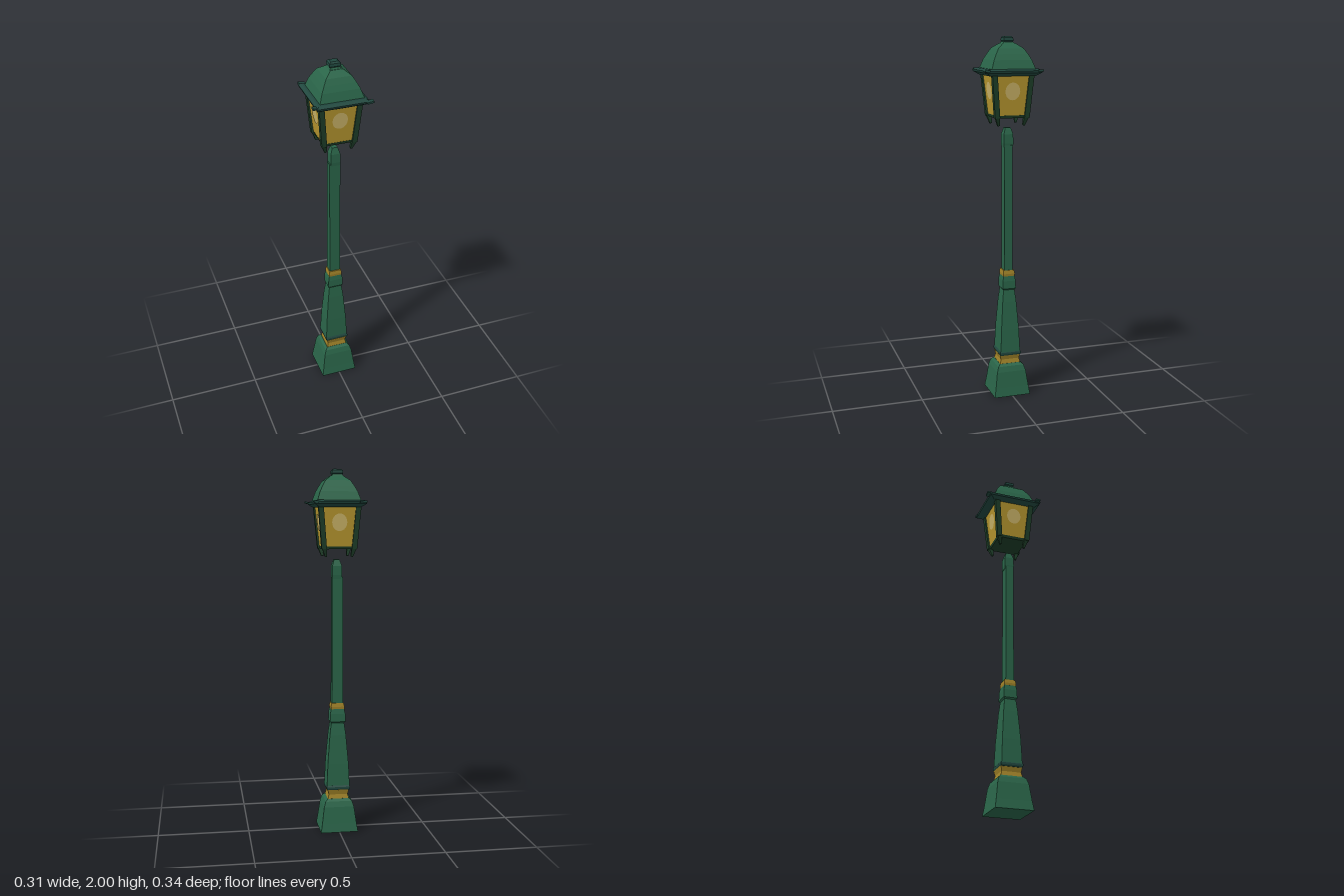
import * as THREE from 'three';

const mat = (name, color) => {
  const m = new THREE.MeshStandardMaterial({ color });
  m.name = name;
  return m;
};

export function createModel() {
  const lamp = new THREE.Group();
  lamp.name = 'streetLamp';
  const green = mat('green paint', 0x2a6549);
  const darkGreen = mat('dark green paint', 0x21483f);
  const frameGreen = mat('frame green', 0x1e3f29);
  const gold = mat('gold trim', 0xa08228);
  const glass = mat('amber glass', 0xb8982f);
  const glow = mat('bulb glow', 0xccb568);

  const add = (name, geometry, material, parent = lamp) => {
    const g = geometry.index ? geometry.toNonIndexed() : geometry;
    g.computeVertexNormals(); // faceted
    const mesh = new THREE.Mesh(g, material);
    mesh.name = name;
    parent.add(mesh);
    return mesh;
  };

  // Square-section solid from [halfWidth, height] pairs, bottom to top
  const square = (name, profile, material, sx = 1, sz = 1, parent = lamp) => {
    const pts = profile.map(([h, y]) => new THREE.Vector2(h * Math.SQRT2, y));
    pts.unshift(new THREE.Vector2(0, pts[0].y));
    pts.push(new THREE.Vector2(0, pts[pts.length - 1].y));
    const g = new THREE.LatheGeometry(pts, 4, Math.PI / 4);
    g.scale(sx, 1, sz);
    return add(name, g, material, parent);
  };

  // Square bar between two points with a half width at each end
  const bar = (name, a, b, ha, hb, material, parent) => {
    const dir = b.clone().sub(a);
    const g = new THREE.CylinderGeometry(hb * Math.SQRT2, ha * Math.SQRT2, dir.length(), 4);
    g.rotateY(Math.PI / 4);
    const mesh = add(name, g, material, parent);
    mesh.position.copy(a).add(b).multiplyScalar(0.5);
    mesh.quaternion.setFromUnitVectors(new THREE.Vector3(0, 1, 0), dir.normalize());
    return mesh;
  };

  // Pedestal and post
  square('base', [[0.104, 0], [0.096, 0.05], [0.084, 0.14], [0.074, 0.17], [0.06, 0.182]], green);
  square('lowerBand', [[0.06, 0.178], [0.053, 0.205], [0.059, 0.232]], gold);
  square('lowerLip', [[0.062, 0.23], [0.066, 0.238], [0.066, 0.248], [0.061, 0.256]], darkGreen, 1, 0.92);
  square('taperedShaft', [[0.064, 0.25], [0.058, 0.38], [0.045, 0.54], [0.036, 0.61]], green, 1, 0.88);
  square('collar', [[0.034, 0.605], [0.043, 0.616], [0.042, 0.66], [0.036, 0.69]], green, 1, 0.88);
  square('upperBand', [[0.037, 0.687], [0.038, 0.7], [0.034, 0.72]], gold, 1, 0.88);
  square('pole', [[0.031, 0.715], [0.03, 1.0], [0.03, 1.42]], green, 1, 0.76);
  const cap = square('poleTop', [[0.025, 1.41], [0.027, 1.43], [0.026, 1.48], [0.015, 1.515]], green);
  cap.position.x = 0.002;

  // Lantern body
  const lantern = new THREE.Group();
  lantern.name = 'lantern';
  lamp.add(lantern);
  square('glassBody', [[0.086, 1.58], [0.108, 1.8]], glass, 1, 1, lantern);
  square('lanternFloor', [[0.084, 1.572], [0.088, 1.587]], frameGreen, 1, 1, lantern);

  // Corner posts with tapering feet
  for (const sx of [-1, 1]) for (const sz of [-1, 1]) {
    const at = (h, y) => new THREE.Vector3(sx * h, y, sz * h);
    bar('cornerPost', at(0.082, 1.575), at(0.102, 1.805), 0.014, 0.014, frameGreen, lantern);
    bar('foot', at(0.07, 1.532), at(0.083, 1.59), 0.006, 0.014, frameGreen, lantern);
  }

  // Bulb glow on each pane
  for (let i = 0; i < 4; i++) {
    const g = new THREE.CircleGeometry(1, 20);
    g.scale(0.041, 0.047, 1);
    g.rotateX(Math.atan(0.022 / 0.22));
    g.translate(0, 1.715, 0.1012);
    g.rotateY(i * Math.PI / 2);
    add('bulbGlow', g, glow, lantern);
  }

  // Flared eave with uneven corner tips
  square('eave', [[0.112, 1.795], [0.137, 1.812], [0.14, 1.823], [0.125, 1.832]],
    darkGreen, 1, 1.1, lantern);
  for (const [x, z] of [[-0.138, 0.132], [0.138, 0.152], [0.128, -0.143], [-0.118, -0.158]]) {
    const tip = add('eaveTip', new THREE.BoxGeometry(0.036, 0.01, 0.026), darkGreen, lantern);
    tip.position.set(x, 1.822, z);
    tip.rotation.z = Math.sign(x) * 0.12;
  }

  // Domed roof and finial
  const roof = square('roof', [[0.123, 1.825], [0.114, 1.85], [0.104, 1.878], [0.088, 1.908],
    [0.07, 1.937], [0.034, 1.963]], green, 0.97, 1, lantern);
  roof.position.x = 0.004;
  square('finialNeck', [[0.034, 1.957], [0.025, 1.972]], green, 1, 1, lantern);
  square('finial', [[0.025, 1.968], [0.031, 1.977], [0.029, 1.992], [0.02, 2.0]],
    darkGreen, 1, 0.85, lantern);

  return lamp;
}
